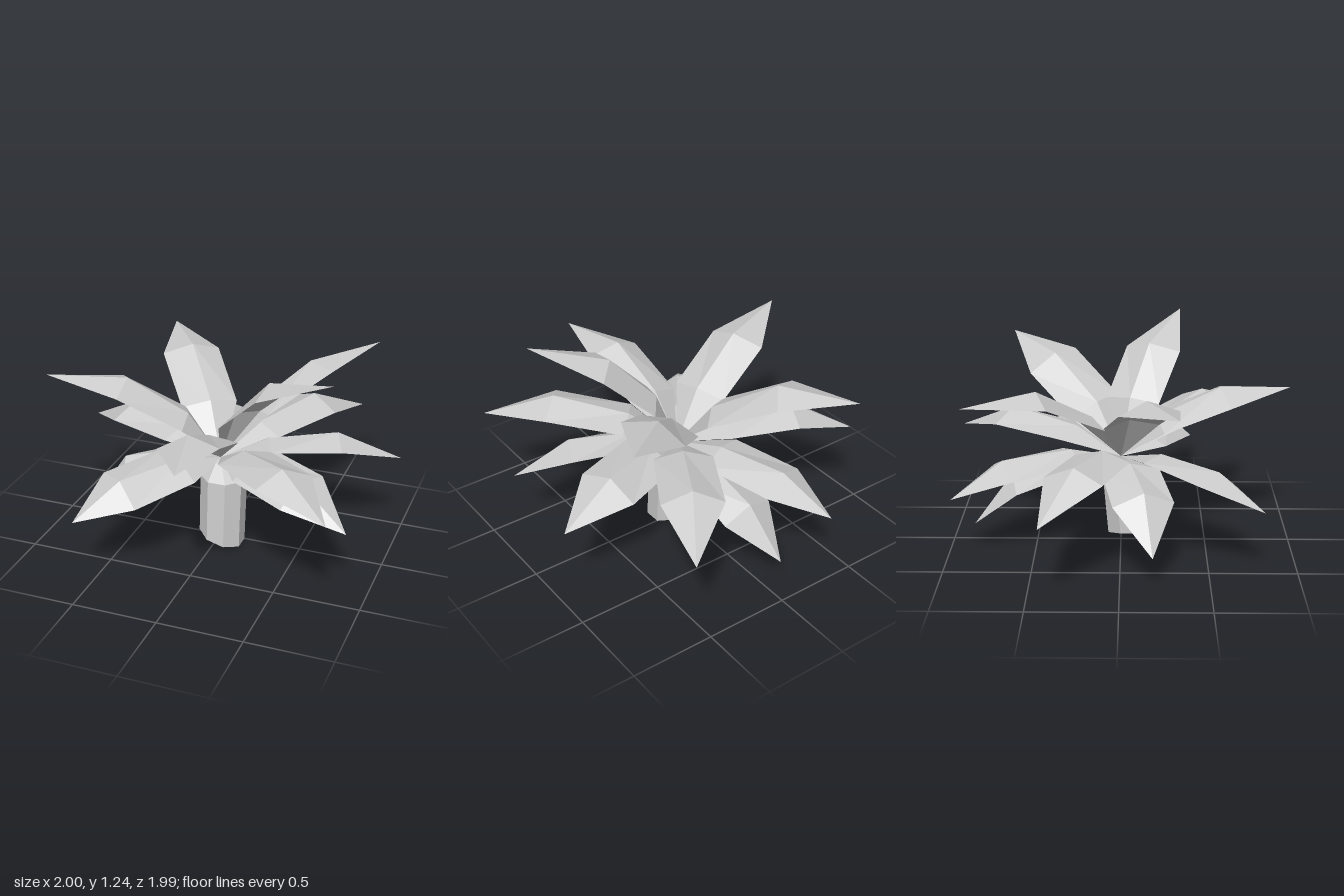
import * as THREE from 'three';

const material = new THREE.MeshStandardMaterial({ color: 0xcccccc, flatShading: true, side: THREE.DoubleSide });
const UP = new THREE.Vector3(0, 1, 0);
const CROWN = new THREE.Vector3(0, 0.53, 0);

// Each frond: tip x, y, z, midpoint x, y, z at the widest place, and roll (rise of one edge)
const FRONDS = [
  [0.60, 0.54, -1.00, 0.38, 0.65, -0.67, 0],
  [0.76, 1.11, -0.68, 0.46, 0.99, -0.42, -0.05],
  [1.00, 0.53, -0.36, 0.65, 0.61, -0.25, -0.03],
  [0.88, 0.41, 0.41, 0.58, 0.54, 0.27, 0.04],
  [0.76, 1.25, 0.36, 0.40, 1.08, 0.19, 0],
  [0.86, 0.65, 0.77, 0.55, 0.72, 0.51, 0],
  [0.12, 0.92, 0.99, 0.04, 0.88, 0.61, 0.02],
  [-0.58, 0.40, 0.80, -0.41, 0.50, 0.54, -0.04],
  [-0.95, 1.04, 0.31, -0.56, 0.96, 0.16, 0],
  [-0.75, 0.20, 0.18, -0.54, 0.43, 0.13, 0],
  [-1.00, 0.47, -0.42, -0.66, 0.61, -0.25, 0],
  [-0.62, 1.00, -0.85, -0.38, 0.96, -0.50, 0],
  [-0.37, 0.39, -0.96, -0.25, 0.51, -0.67, 0],
  [-0.10, 0.14, -0.86, -0.04, 0.36, -0.62, 0],
];

// Folded blade: point at the crown, two ridged cross-sections, point at the tip
function frond([tx, ty, tz, mx, my, mz, roll]) {
  const tip = new THREE.Vector3(tx, ty, tz);
  const wide = new THREE.Vector3(mx, my, mz);
  // The blade leaves the crown steeply, then arches outward
  const rise = my - CROWN.y;
  const inner = CROWN.clone().lerp(wide, 0.42 - 0.12 * rise);
  inner.y = CROWN.y + 0.04 + rise * 0.47;
  const side = new THREE.Vector3().crossVectors(UP, tip.clone().sub(CROWN)).setLength(0.17);
  side.y = roll;
  const normal = new THREE.Vector3().crossVectors(wide.clone().sub(CROWN), side).normalize();
  const section = (p, width, ridge) => [
    p.clone().addScaledVector(side, -width),
    p.clone().addScaledVector(normal, ridge),
    p.clone().addScaledVector(side, width),
  ];
  const points = [CROWN, ...section(inner, 1, 0.045), ...section(wide, 1.03, 0.075), tip];
  const index = [];
  for (let i = 1; i < 3; i++) {
    index.push(0, i, i + 1);
    index.push(i, i + 3, i + 4, i, i + 4, i + 1);
    index.push(i + 3, 7, i + 4);
  }
  const geometry = new THREE.BufferGeometry().setFromPoints(points);
  geometry.setIndex(index);
  const flat = geometry.toNonIndexed();
  flat.computeVertexNormals();
  return new THREE.Mesh(flat, material);
}

// Eight-sided hollow trunk with a tapered top and an obliquely cut, leaning foot
function trunk() {
  const profile = [[0.135, 0], [0.138, 0.43], [0.05, 0.51], [0, 0.53]].map(p => new THREE.Vector2(...p));
  const geometry = new THREE.LatheGeometry(profile, 8, Math.PI / 8);
  const pos = geometry.attributes.position;
  for (let i = 0; i < pos.count; i++) {
    const x = pos.getX(i), y = pos.getY(i), z = pos.getZ(i);
    const foot = y < 0.01;
    const lift = Math.max(0, (y - 0.43) / 0.1);
    pos.setXYZ(i, x + 0.028 * (1 - lift), foot ? 0.042 - 0.29 * x : y, z + (foot ? 0.05 : 0.02 * (1 - lift)));
  }
  const flat = geometry.toNonIndexed();
  flat.computeVertexNormals();
  const mesh = new THREE.Mesh(flat, material);
  mesh.name = 'trunk';
  return mesh;
}

export function createModel() {
  const model = new THREE.Group();
  model.name = 'palm';
  const crown = new THREE.Group();
  crown.name = 'crown';
  FRONDS.forEach((data, i) => {
    const leaf = frond(data);
    leaf.name = `frond ${i + 1}`;
    crown.add(leaf);
  });
  model.add(trunk(), crown);
  return model;
}
